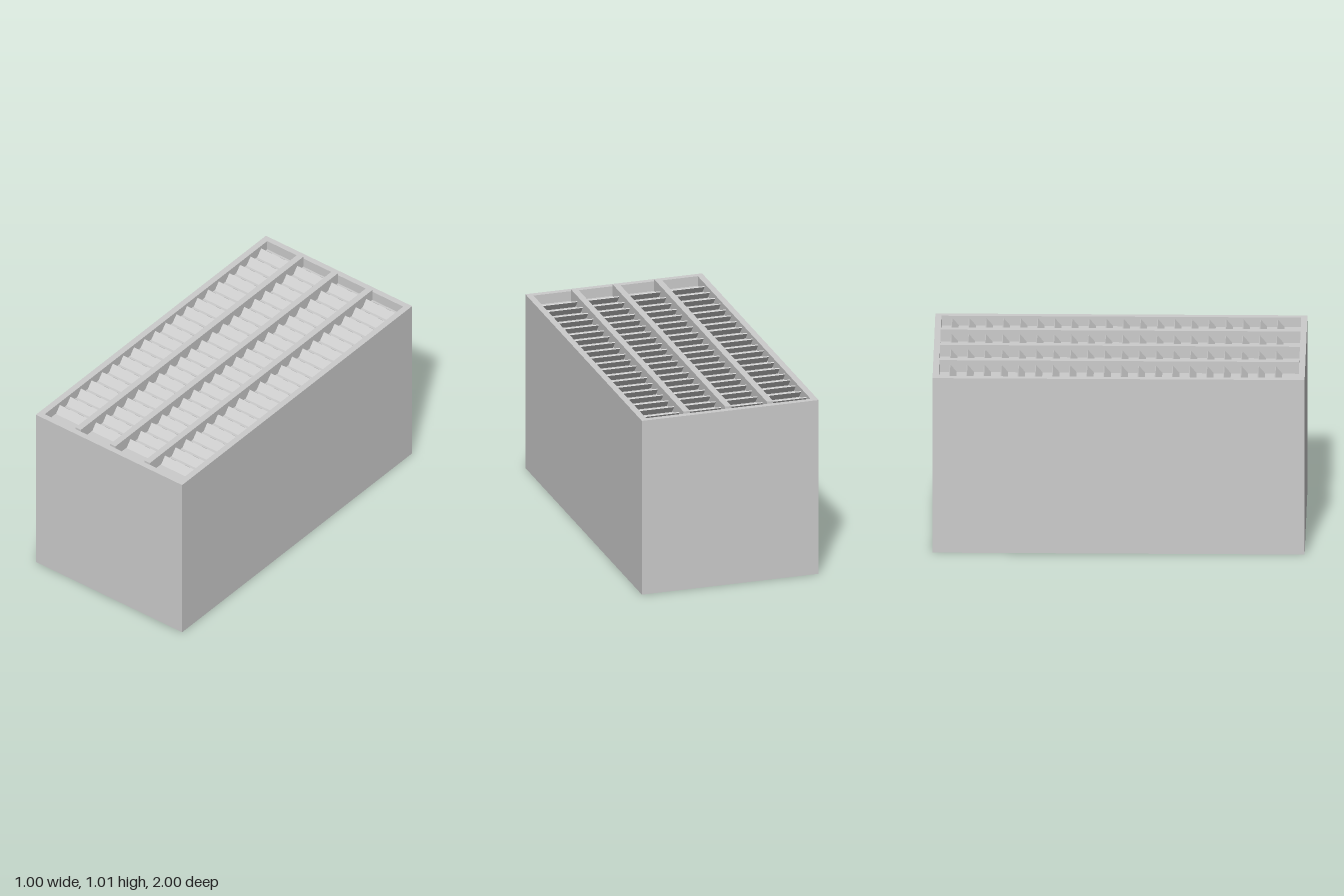
import * as THREE from 'three';

const material = new THREE.MeshStandardMaterial({ color: 0xcccccc, flatShading: true });

const FLOOR = 0.945;            // height of the recessed floor
const IN_X = 0.465, IN_Z = 0.967; // half size of the recess
const BAR_X = [-0.236, 0, 0.236]; // dividing bars
const BAR_W = 0.036;

function box(name, w, h, d, x, y, z) {
  const mesh = new THREE.Mesh(new THREE.BoxGeometry(w, h, d), material);
  mesh.name = name;
  mesh.position.set(x, y, z);
  return mesh;
}

function rectangle(PathType, hx, hy) {
  const p = new PathType();
  p.moveTo(-hx, -hy);
  p.lineTo(hx, -hy);
  p.lineTo(hx, hy);
  p.lineTo(-hx, hy);
  p.closePath();
  return p;
}

export function createModel() {
  const model = new THREE.Group();
  model.name = 'louveredBox';

  // Solid body up to the recessed floor
  model.add(box('body', 1, FLOOR, 2, 0, FLOOR / 2, 0));

  // Raised rim around the recess
  const frame = rectangle(THREE.Shape, 0.5, 1);
  frame.holes.push(rectangle(THREE.Path, IN_X, IN_Z));
  const rimGeometry = new THREE.ExtrudeGeometry(frame, { depth: 1 - FLOOR, bevelEnabled: false });
  rimGeometry.rotateX(-Math.PI / 2);
  const rim = new THREE.Mesh(rimGeometry, material);
  rim.name = 'rim';
  rim.position.y = FLOOR;
  model.add(rim);

  // Lengthwise bars standing slightly above the rim
  const barTop = 1.012;
  for (const x of BAR_X) {
    model.add(box('divider', BAR_W, barTop - FLOOR, IN_Z * 2, x, (barTop + FLOOR) / 2, 0));
  }

  // Four columns of tilted slats, high at the back and low at the front
  const slats = new THREE.Group();
  slats.name = 'slats';
  const rows = 20, pitch = (IN_Z * 2) / (rows + 1);
  const gap = 0.005, tilt = 0.87;
  const edges = [-IN_X, ...BAR_X.flatMap((x) => [x - BAR_W / 2, x + BAR_W / 2]), IN_X];
  for (let c = 0; c < edges.length; c += 2) {
    const width = edges[c + 1] - edges[c] - gap * 2;
    const x = (edges[c] + edges[c + 1]) / 2;
    for (let r = 1; r <= rows; r++) {
      const slat = box('slat', width, 0.006, 0.053, x, FLOOR + 0.022, -IN_Z + r * pitch - 0.018);
      slat.rotation.x = tilt;
      slats.add(slat);
    }
  }
  model.add(slats);

  return model;
}
